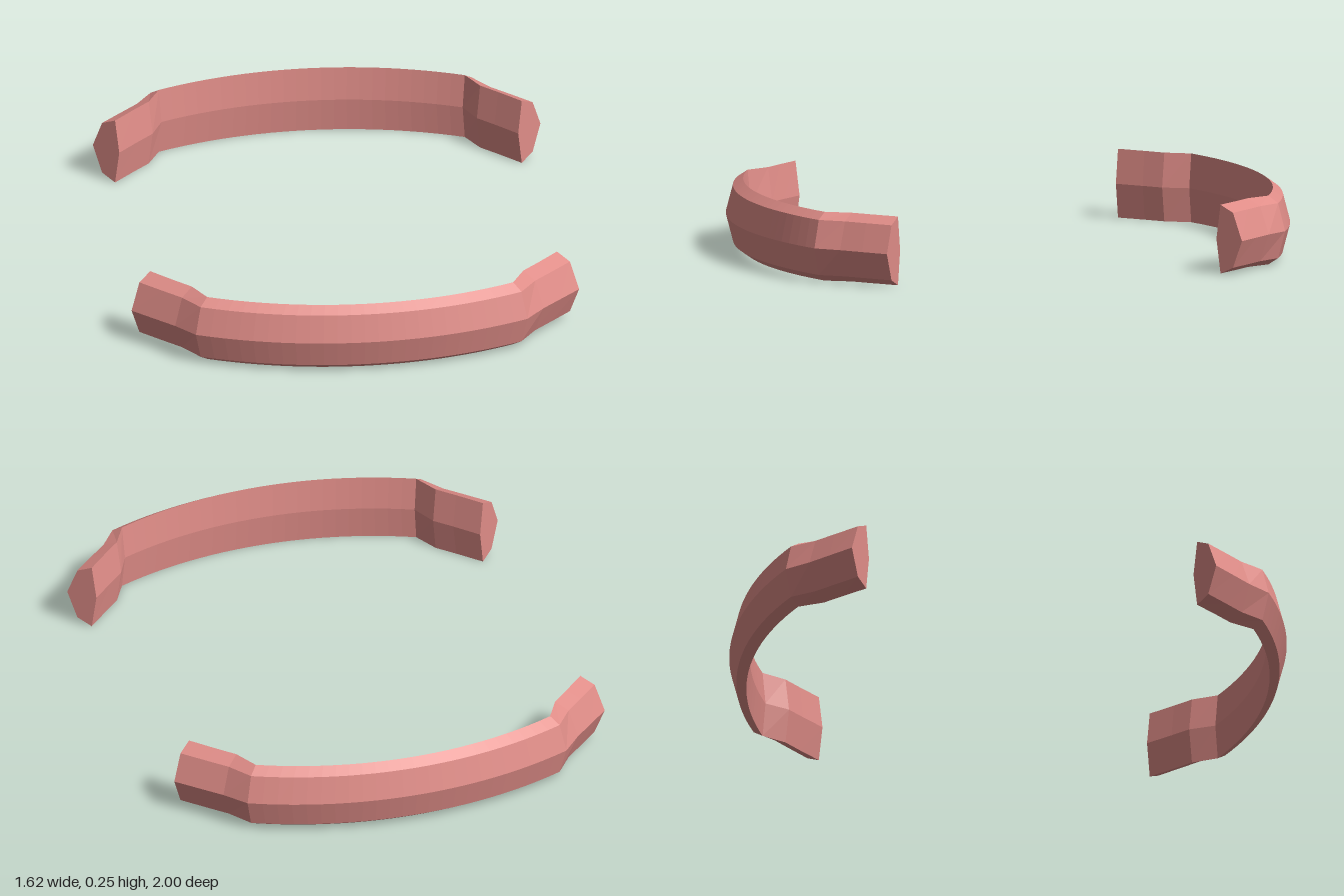
import * as THREE from 'three';

// Plan of one half of a bar: [outerX, outerZ, innerX, innerZ], from the arc's end to the tip
const TIP = [
  [0.667, 0.797, 0.587, 0.725],
  [0.735, 0.732, 0.645, 0.668],
  [0.81, 0.66, 0.722, 0.588],
];
// Six-sided section: [fraction from outer to inner edge, height]
const SECTION = [[0, 0.125], [0.35, 0.225], [0.84, 0.25], [1, 0.125], [0.84, 0], [0.35, 0.025]];
const ARC_STEPS = 24;

// Depth of a shallow arc that drops by sag at half-width w
function arcZ(x, top, w, sag) {
  const r = (w * w + sag * sag) / (2 * sag);
  return top - r + Math.sqrt(r * r - x * x);
}

function barGeometry() {
  const stations = TIP.map(([a, b, c, d]) => [-a, b, -c, d]).reverse();
  for (let i = 0; i <= ARC_STEPS; i++) {
    const t = (i / ARC_STEPS) * 2 - 1;
    stations.push([0.6 * t, arcZ(0.6 * t, 1, 0.6, 0.125), 0.545 * t, arcZ(0.545 * t, 0.927, 0.545, 0.112)]);
  }
  stations.push(...TIP);

  const positions = [];
  const index = [];
  const n = SECTION.length;
  for (const [ox, oz, ix, iz] of stations) {
    for (const [f, y] of SECTION) positions.push(ox + (ix - ox) * f, y, oz + (iz - oz) * f);
  }
  // Walls between neighbouring sections
  const last = (stations.length - 1) * n;
  for (let s = 0; s < last; s += n) {
    for (let j = 0; j < n; j++) {
      const k = (j + 1) % n;
      index.push(s + j, s + n + j, s + n + k, s + j, s + n + k, s + k);
    }
  }
  // Flat end caps
  for (let j = 1; j < n - 1; j++) {
    index.push(0, j, j + 1, last, last + j + 1, last + j);
  }
  const geometry = new THREE.BufferGeometry();
  geometry.setAttribute('position', new THREE.Float32BufferAttribute(positions, 3));
  geometry.setIndex(index);
  const flat = geometry.toNonIndexed();
  flat.computeVertexNormals();
  return flat;
}

export function createModel() {
  const group = new THREE.Group();
  const material = new THREE.MeshStandardMaterial({ color: 0xe08d88 });
  material.name = 'dusty pink';
  const geometry = barGeometry();

  // Front bar and its half-turn copy at the back
  ['frontBar', 'backBar'].forEach((name, i) => {
    const bar = new THREE.Mesh(geometry, material);
    bar.name = name;
    bar.rotation.y = i * Math.PI;
    group.add(bar);
  });
  return group;
}
